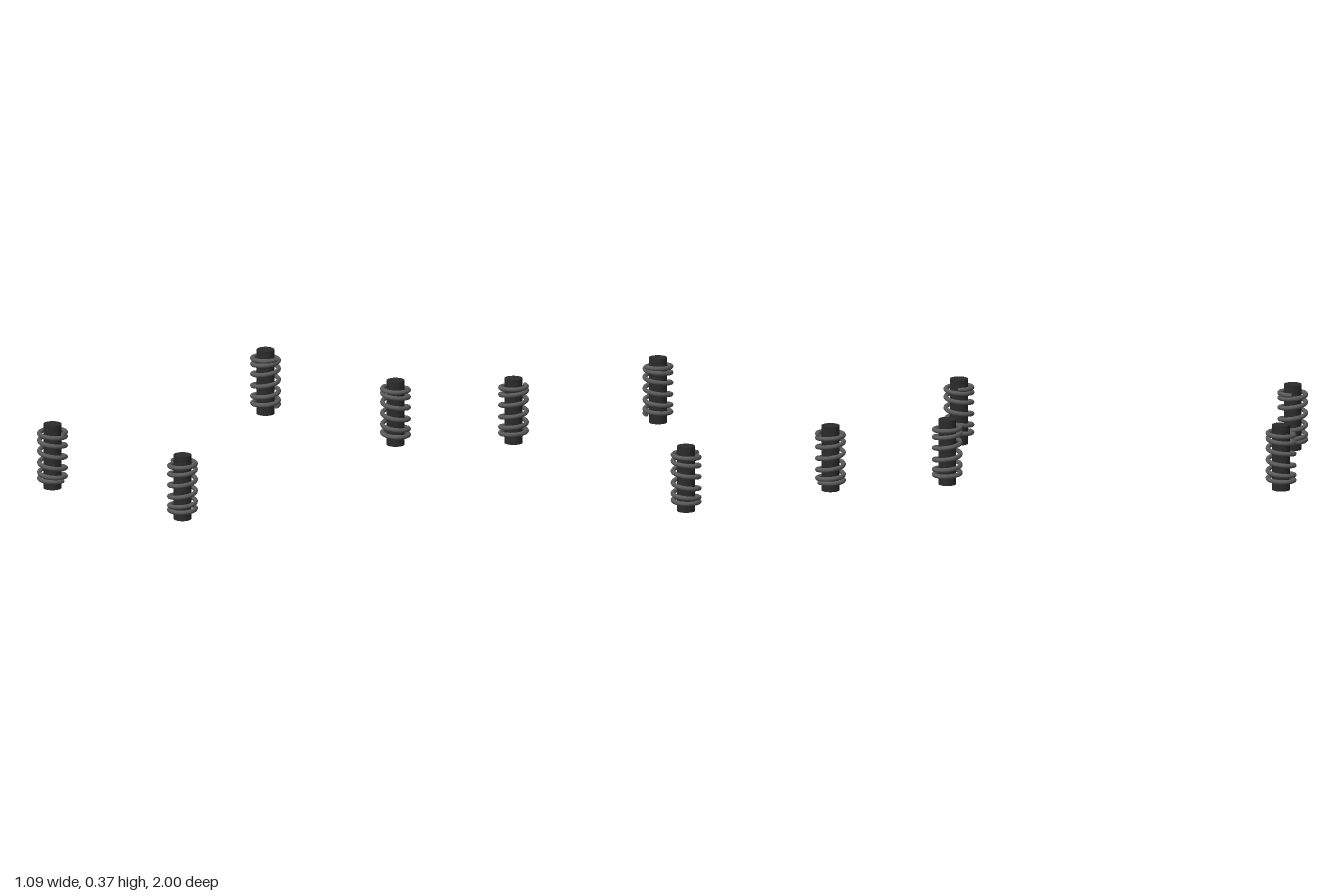
import * as THREE from 'three';

const ROD_RADIUS = 0.049, ROD_HEIGHT = 0.366;
const COIL_RADIUS = 0.072, WIRE_RADIUS = 0.0125;
const TURNS = 6, COIL_BOTTOM = 0.053, COIL_TOP = 0.319;

// Helix whose pitch eases to nothing at both ends, like a closed-end spring.
// It starts on the inner side and is mirrored by the signs of x and z.
class CoilCurve extends THREE.Curve {
  constructor(sx, sz) {
    super();
    this.sx = sx;
    this.sz = sz;
  }
  getPoint(t, target = new THREE.Vector3()) {
    const a = t * TURNS * Math.PI * 2;
    return target.set(
      -this.sx * COIL_RADIUS * Math.cos(a),
      COIL_BOTTOM + (COIL_TOP - COIL_BOTTOM) * t * t * (3 - 2 * t),
      this.sz * COIL_RADIUS * Math.sin(a)
    );
  }
}

function createSpring(sx, sz, rodMaterial, coilMaterial) {
  const spring = new THREE.Group();

  // Solid central rod
  const rod = new THREE.Mesh(new THREE.CylinderGeometry(ROD_RADIUS, ROD_RADIUS, ROD_HEIGHT, 32), rodMaterial);
  rod.name = 'rod';
  rod.position.y = ROD_HEIGHT / 2;
  spring.add(rod);

  // Wire coil
  const curve = new CoilCurve(sx, sz);
  const coil = new THREE.Mesh(new THREE.TubeGeometry(curve, 240, WIRE_RADIUS, 12), coilMaterial);
  coil.name = 'coil';
  spring.add(coil);

  // Flat discs closing the wire ends
  for (const t of [0, 1]) {
    const end = new THREE.Mesh(new THREE.CircleGeometry(WIRE_RADIUS, 12), coilMaterial);
    const outward = curve.getTangent(t).multiplyScalar(t ? 1 : -1);
    end.name = 'wireEnd';
    end.position.copy(curve.getPoint(t));
    end.quaternion.setFromUnitVectors(new THREE.Vector3(0, 0, 1), outward);
    spring.add(end);
  }
  return spring;
}

export function createModel() {
  const model = new THREE.Group();
  model.name = 'springSet';
  const rodMaterial = new THREE.MeshStandardMaterial({ name: 'darkRod', color: 0x2b2b2b });
  const coilMaterial = new THREE.MeshStandardMaterial({ name: 'greySteel', color: 0x5a5a5a });

  // One spring at each corner
  for (const sx of [-1, 1]) {
    for (const sz of [-1, 1]) {
      const spring = createSpring(sx, sz, rodMaterial, coilMaterial);
      spring.name = (sz > 0 ? 'front' : 'back') + (sx > 0 ? 'Left' : 'Right') + 'Spring';
      spring.position.set(sx * 0.461, 0, sz * 0.915);
      model.add(spring);
    }
  }
  return model;
}
